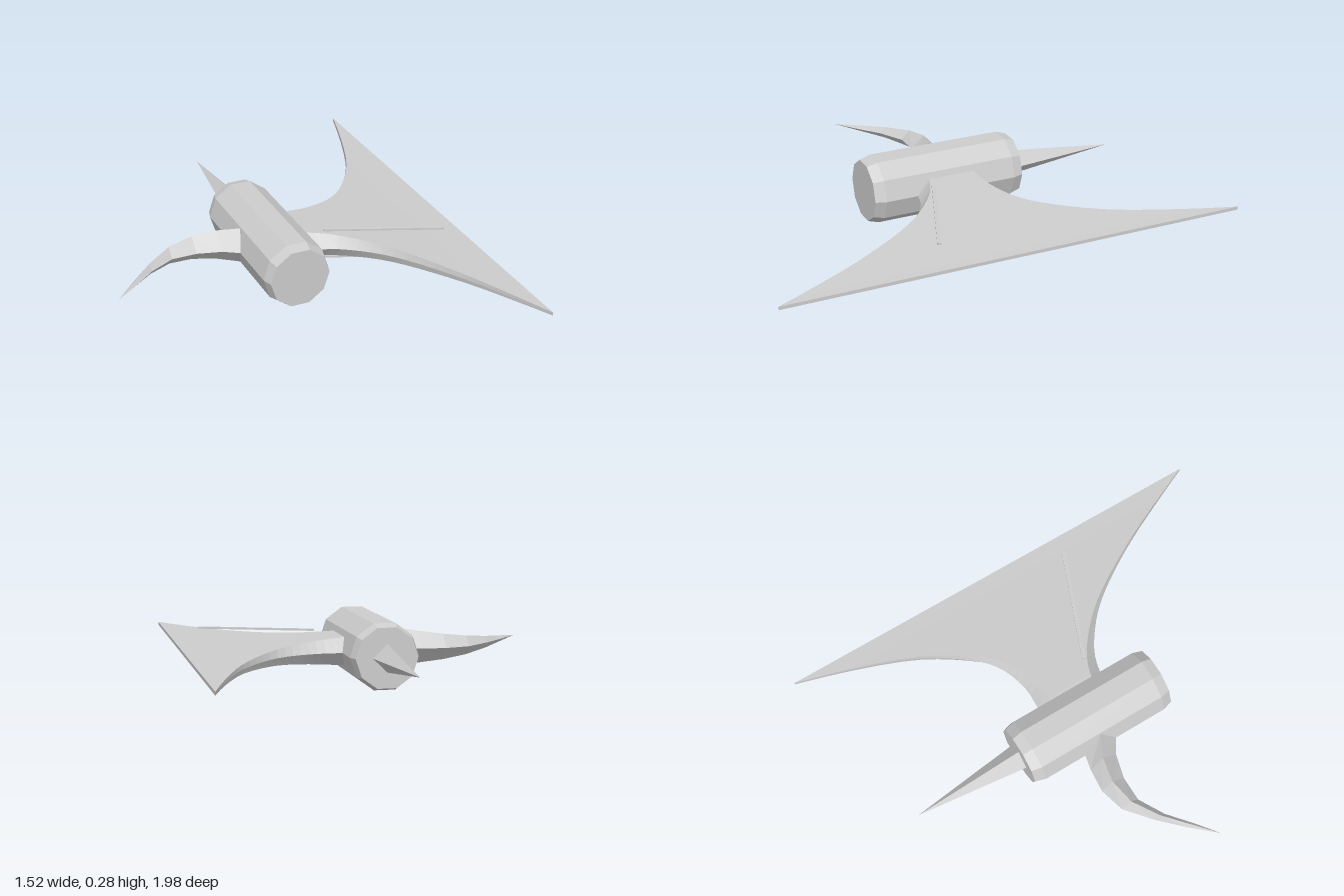
import * as THREE from 'three';

const steel = new THREE.MeshStandardMaterial({ color: 0xcccccc });
steel.name = 'steel grey';
steel.flatShading = true;

const CX = -0.03, CY = 0.14;

// Skin over rings of points ordered along +x; each ring runs top, +z side, bottom, -z side
function loft(rings) {
  const n = rings[0].length, pos = [];
  const tri = (a, b, c) => pos.push(...a, ...b, ...c);
  for (let i = 0; i < rings.length - 1; i++) {
    for (let j = 0; j < n; j++) {
      const k = (j + 1) % n;
      tri(rings[i][j], rings[i][k], rings[i + 1][k]);
      tri(rings[i][j], rings[i + 1][k], rings[i + 1][j]);
    }
  }
  const first = rings[0], last = rings[rings.length - 1];
  for (let j = 1; j < n - 1; j++) {
    tri(last[0], last[j], last[j + 1]);
    tri(first[0], first[j + 1], first[j]);
  }
  const g = new THREE.BufferGeometry();
  g.setAttribute('position', new THREE.Float32BufferAttribute(pos, 3));
  g.computeVertexNormals();
  return g;
}

// Smooth curve through (x, z) points
const curve = (pts) => new THREE.SplineCurve(pts.map(([x, z]) => new THREE.Vector2(x, z)));

// z on a curve at a given x
function zAt(samples, x) {
  for (let i = 1; i < samples.length; i++) {
    const a = samples[i - 1], b = samples[i];
    if (x <= b.x) return a.y + (b.y - a.y) * (x - a.x) / (b.x - a.x);
  }
  return samples[samples.length - 1].y;
}

export function createModel() {
  const group = new THREE.Group();
  const add = (name, geometry) => {
    const mesh = new THREE.Mesh(geometry, steel);
    mesh.name = name;
    group.add(mesh);
    return mesh;
  };

  // Ten-sided hub with bevelled ends, lying along z
  const profile = [[0, -0.34], [0.131, -0.34], [0.145, -0.295], [0.145, 0.295], [0.131, 0.34], [0, 0.34]]
    .map(([r, y]) => new THREE.Vector2(r, y));
  const hub = new THREE.LatheGeometry(profile, 10);
  hub.rotateY(Math.PI / 2);
  hub.rotateX(Math.PI / 2);
  // a corner points to each side, leaving flats on top and bottom
  hub.rotateZ(Math.PI);
  hub.translate(CX, CY, 0);
  add('hub', hub.toNonIndexed());

  // Flared blade: six-sided section, thick at the hub and thin at the cutting edge
  const backEdge = curve([[0.04, -0.16], [0.12, -0.16], [0.22, -0.16], [0.347, -0.2], [0.452, -0.29],
    [0.585, -0.49], [0.69, -0.76], [0.76, -0.99]]).getPoints(60);
  const frontEdge = curve([[0.04, 0.15], [0.12, 0.155], [0.22, 0.19], [0.347, 0.285], [0.452, 0.41],
    [0.585, 0.625], [0.69, 0.835], [0.76, 0.985]]).getPoints(60);
  const blade = [];
  const steps = 20;
  for (let i = 0; i <= steps; i++) {
    const x = 0.04 + 0.72 * i / steps;
    const t = Math.min(1, Math.max(0, (x - 0.1) / 0.66));
    const h = 0.007 + 0.053 * Math.pow(1 - t, 1.15);
    const bevel = 0.054 * Math.pow(1 - t, 1.7);
    const zf = zAt(frontEdge, x), zb = zAt(backEdge, x);
    blade.push([
      [x, CY + h, zb + bevel], [x, CY + h, zf - bevel], [x, CY, zf],
      [x, CY - h, zf - bevel], [x, CY - h, zb + bevel], [x, CY, zb],
    ]);
  }
  add('blade', loft(blade));

  // Curved horn: diamond section, from tip to root as [x, back z, ridge z, front z]
  const horn = [
    [-0.76, 0.2, 0.2, 0.2],
    [-0.665, 0.095, 0.112, 0.128],
    [-0.565, -0.005, 0.02, 0.045],
    [-0.455, -0.095, -0.052, -0.015],
    [-0.345, -0.124, -0.074, -0.016],
    [-0.24, -0.115, -0.055, 0.012],
    [-0.15, -0.095, -0.012, 0.068],
    [-0.09, -0.07, 0.02, 0.11],
  ].map(([x, zb, zr, zf]) => {
    const h = 0.082 * (x + 0.76) / 0.62;
    return [[x, CY + h, zr], [x, CY, zf], [x, CY - h, zr], [x, CY, zb]];
  });
  add('horn', loft(horn));

  // Four-sided spike behind the hub
  const spike = new THREE.ConeGeometry(0.06, 0.5, 4);
  spike.rotateX(-Math.PI / 2);
  spike.translate(CX, CY, -0.58);
  add('spike', spike.toNonIndexed());

  // Thin slanting bars above and below the blade
  for (const [name, y] of [['upperBar', 0.204], ['lowerBar', 0.076]]) {
    const bar = add(name, new THREE.BoxGeometry(0.51, 0.008, 0.016));
    bar.position.set(0.418, y, 0.208);
    bar.rotation.y = -Math.atan2(0.19, 0.475);
  }

  return group;
}
